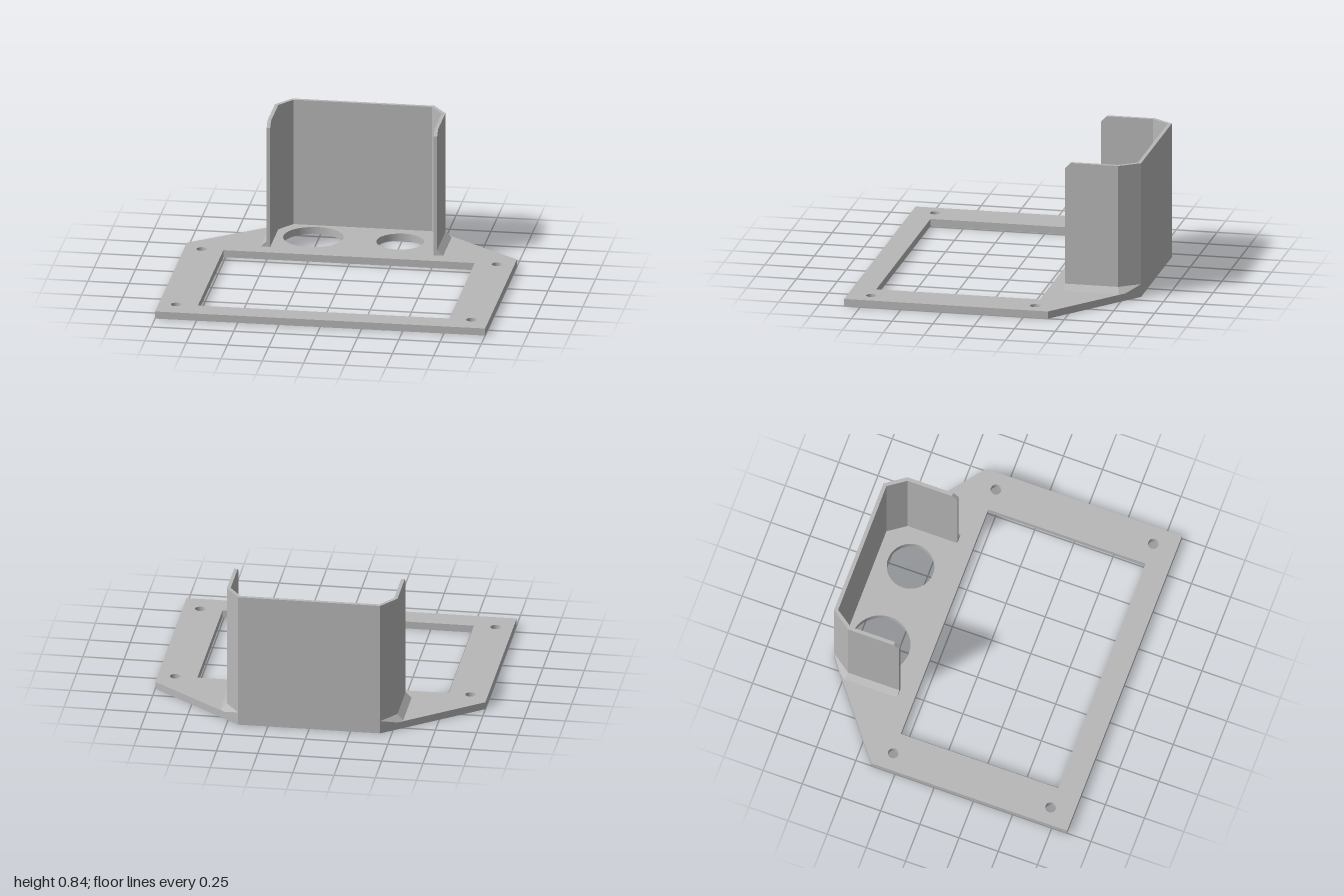
import * as THREE from 'three';

const T = 0.045;   // plate thickness
const H = 0.835;   // wall top
const FRONT = -0.4; // front end of the side walls
const BEVEL = 0.035;

// Plan outlines are given as [x, z] and extruded upwards
const plan = (pts) => new THREE.Shape(pts.map(([x, z]) => new THREE.Vector2(x, -z)));

function extrudeUp(shape, y0, y1) {
  const geo = new THREE.ExtrudeGeometry(shape, { depth: y1 - y0, bevelEnabled: false, curveSegments: 48 });
  return geo.rotateX(-Math.PI / 2).translate(0, y0, 0);
}

function hole(x, z, r) {
  const path = new THREE.Path();
  path.absarc(x, -z, r, 0, Math.PI * 2, true);
  return path;
}

// Sloped fillet strip at the foot of a side wall, trimmed by the plate edge
function gussetGeometry(side) {
  const A = [0.553, T, FRONT], B = [0.553, T, -0.737], C = [0.526, T, -0.774];
  const D = [0.43, 0.08, -0.848], E = [0.43, T, -0.848], F = [0.517, T, FRONT];
  const P = [0.517, 0.08, FRONT], Q = [0.517, 0.08, -0.726];
  const tris = [[A, B, Q], [A, Q, P], [B, C, D], [B, D, Q], [C, E, D], [A, P, F]];
  const pos = [];
  for (const t of tris) {
    const ordered = side > 0 ? t : [t[0], t[2], t[1]];
    for (const [x, y, z] of ordered) pos.push(x * side, y, z);
  }
  const geo = new THREE.BufferGeometry();
  geo.setAttribute('position', new THREE.Float32BufferAttribute(pos, 3));
  geo.computeVertexNormals();
  return geo;
}

export function createModel() {
  const model = new THREE.Group();
  const grey = new THREE.MeshStandardMaterial({ color: 0xb8b8b8 });
  grey.name = 'plain grey';

  const add = (name, geo) => {
    const mesh = new THREE.Mesh(geo, grey);
    mesh.name = name;
    model.add(mesh);
  };

  // Base plate with window, screw holes and two round openings
  const base = plan([[-1, 0.848], [1, 0.848], [1, -0.4], [0.43, -0.848], [-0.43, -0.848], [-1, -0.4]]);
  base.holes.push(plan([[-0.763, 0.704], [-0.763, -0.3], [0.76, -0.3], [0.76, 0.704]]));
  for (const x of [-0.895, 0.895]) {
    for (const z of [-0.3, 0.704]) base.holes.push(hole(x, z, 0.032));
  }
  base.holes.push(hole(-0.266, -0.612, 0.181), hole(0.26, -0.612, 0.143));
  add('basePlate', extrudeUp(base, 0, T));

  // Thin wall wrapping the back with chamfered corners
  const outer = [[0.517, FRONT - BEVEL], [0.517, -0.726], [0.43, -0.848]];
  const inner = [[0.42, -0.825], [0.495, -0.718], [0.495, FRONT - BEVEL]];
  const mirror = (pts) => pts.map(([x, z]) => [-x, z]).reverse();
  add('backWall', extrudeUp(plan([...outer, ...mirror(outer), ...mirror(inner), ...inner]), T, H));

  for (const side of [1, -1]) {
    const label = side > 0 ? 'left' : 'right';

    // Front end of the side wall, with its top corner cut off
    const end = new THREE.Shape([
      new THREE.Vector2(FRONT - BEVEL, T), new THREE.Vector2(FRONT, T),
      new THREE.Vector2(FRONT, H - BEVEL), new THREE.Vector2(FRONT - BEVEL, H),
    ]);
    const endGeo = new THREE.ExtrudeGeometry(end, { depth: 0.022, bevelEnabled: false });
    endGeo.rotateY(-Math.PI / 2).translate(side > 0 ? 0.517 : -0.495, 0, 0);
    add(label + 'WallEnd', endGeo);

    add(label + 'Gusset', gussetGeometry(side));
  }
  return model;
}
